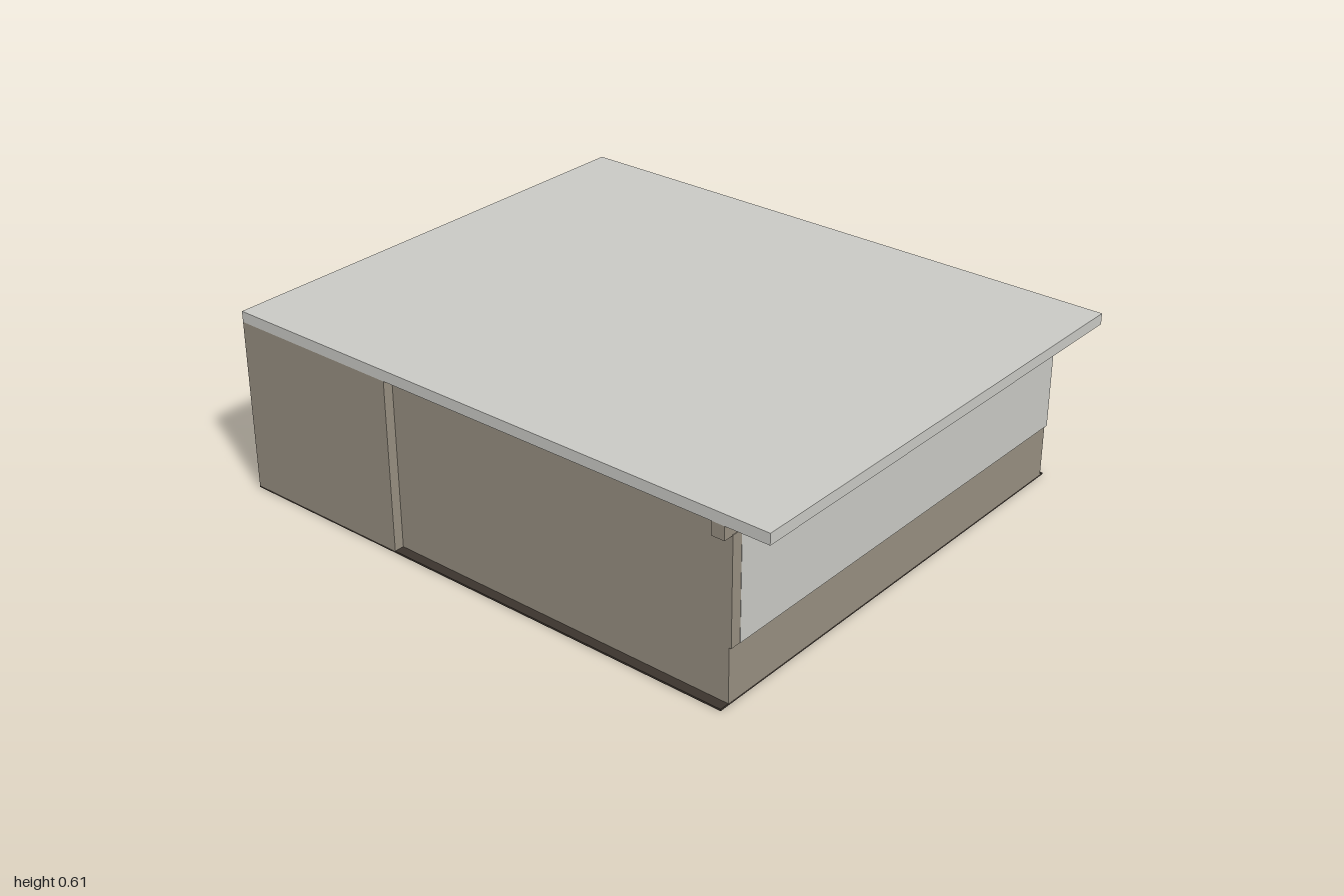
import * as THREE from 'three';

export function createModel() {
  const model = new THREE.Group();
  model.name = 'flatRoofBuilding';

  const material = (name, color) => {
    const m = new THREE.MeshStandardMaterial({ color });
    m.name = name;
    return m;
  };
  const wall = material('taupe wall', 0x968e80);
  const pale = material('pale grey', 0xc9c9c4);
  const dark = material('dark floor', 0x3b342d);

  // Box given by its limits on each axis
  const box = (name, mat, [x0, x1], [y0, y1], [z0, z1]) => {
    const mesh = new THREE.Mesh(new THREE.BoxGeometry(x1 - x0, y1 - y0, z1 - z0), mat);
    mesh.position.set((x0 + x1) / 2, (y0 + y1) / 2, (z0 + z1) / 2);
    mesh.name = name;
    model.add(mesh);
    return mesh;
  };

  const base = 0.006, eaves = 0.576, T = 0.04;

  // Floor slab and overhanging roof
  box('floorSlab', dark, [-1, 0.85], [0, base], [-0.82, 0.82]);
  box('roofSlab', pale, [-1, 1], [eaves, 0.612], [-0.82, 0.82]);

  // Front: flush block on the right, set-back wall beside it
  box('frontBlock', wall, [-0.998, -0.39], [base, eaves], [0.82 - T, 0.82]);
  box('frontWall', wall, [-0.39, 0.85], [base, eaves], [0.75, 0.787]);

  // Back: deep recess, projecting pier, shallow recess
  box('backRecessedWall', wall, [-0.12, 0.83], [base, eaves], [-0.75, -0.71]);
  box('backPier', wall, [-0.37, -0.11], [base, eaves], [-0.82, -0.71]);
  box('backBlock', wall, [-0.98, -0.37], [base, eaves], [-0.8, -0.76]);

  // Side wall with two doorways open to the floor
  const outline = new THREE.Shape();
  outline.moveTo(-0.82, base);
  for (const [a, b] of [[-0.35, -0.13], [0.08, 0.3]]) {
    outline.lineTo(a, base);
    outline.lineTo(a, 0.5);
    outline.lineTo(b, 0.5);
    outline.lineTo(b, base);
  }
  outline.lineTo(0.82, base);
  outline.lineTo(0.82, eaves);
  outline.lineTo(-0.82, eaves);
  const doorGeometry = new THREE.ExtrudeGeometry(outline, { depth: T, bevelEnabled: false });
  doorGeometry.rotateY(-Math.PI / 2).translate(-1 + T, 0, 0);
  const doorWall = new THREE.Mesh(doorGeometry, wall);
  doorWall.name = 'doorwayWall';
  model.add(doorWall);

  // Panelled side: low wall, corner posts, top beam and long pale panel
  box('lowWall', wall, [0.81, 0.85], [base, 0.185], [-0.805, 0.787]);
  box('frontPost', wall, [0.81, 0.857], [0.185, 0.535], [0.75, 0.787]);
  box('backPost', wall, [0.81, 0.845], [0.185, 0.535], [-0.8, -0.76]);
  box('topBeam', wall, [0.812, 0.855], [0.532, eaves], [-0.82, 0.82]);
  box('longPanel', pale, [0.838, 0.858], [0.185, 0.535], [-0.805, 0.75]);

  // Rafters with short ends showing beyond the beam
  for (const z of [-0.41, -0.03, 0.36]) {
    box('rafter', wall, [-0.96, 0.868], [0.55, eaves], [z - 0.012, z + 0.012]);
  }

  return model;
}
